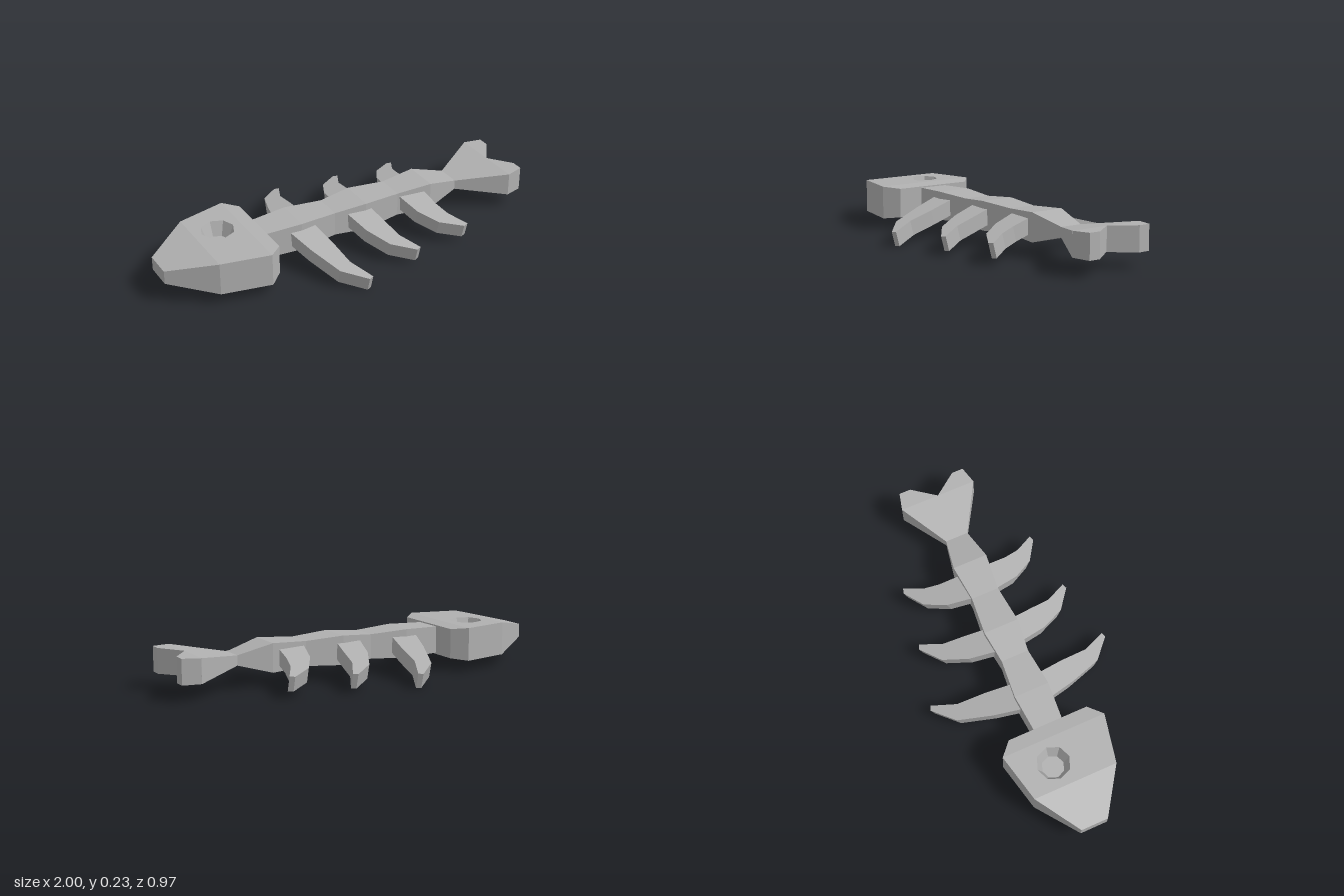
import * as THREE from 'three';

const MID = 0.146; // height of the central plane

// Solid through rectangular sections [x, zNear, zFar, halfHeight], with capped ends
function loft(sections) {
  const pos = [];
  const quad = (a, b, c, d) => pos.push(...a, ...b, ...c, ...a, ...c, ...d);
  const ring = ([x, z0, z1, h]) => [[x, -h, z0], [x, -h, z1], [x, h, z1], [x, h, z0]];
  const rings = sections.map(ring);
  for (let i = 0; i < rings.length - 1; i++) {
    const a = rings[i], b = rings[i + 1];
    for (let k = 0; k < 4; k++) {
      const n = (k + 1) % 4;
      quad(a[k], b[k], b[n], a[n]);
    }
  }
  const s = rings[0], e = rings[rings.length - 1];
  quad(s[0], s[1], s[2], s[3]);
  quad(e[3], e[2], e[1], e[0]);
  const g = new THREE.BufferGeometry();
  g.setAttribute('position', new THREE.Float32BufferAttribute(pos, 3));
  g.computeVertexNormals();
  return g;
}

// Symmetric sections [x, halfWidth, halfHeight]
const symmetric = (list) => loft(list.map(([x, w, h]) => [x, -w, w, h]));

// Flat plate from an outline of [x, y], lying in xz (y becomes -z), centred on y = 0
function plate(points, thickness, hole) {
  const shape = new THREE.Shape(points.map(([x, y]) => new THREE.Vector2(x, y)));
  if (hole) shape.holes.push(new THREE.Path(hole));
  const g = new THREE.ExtrudeGeometry(shape, { depth: thickness, bevelEnabled: false });
  g.translate(0, 0, -thickness / 2);
  g.rotateX(-Math.PI / 2);
  return g;
}

export function createModel() {
  const model = new THREE.Group();
  model.name = 'fishSkeleton';
  const bone = new THREE.MeshStandardMaterial({ color: 0xb0b0b0 });
  bone.name = 'bone grey';

  const body = new THREE.Group();
  body.name = 'body';
  body.position.y = MID;
  model.add(body);
  const add = (name, geometry, parent = body) => {
    const mesh = new THREE.Mesh(geometry, bone);
    mesh.name = name;
    parent.add(mesh);
    return mesh;
  };

  // Head: tapered snout, flat cheeks with the eye opening, short back
  const H = 0.085, eye = { x: -0.655, z: -0.06, R: 0.085, r: 0.057, floor: 0.012 };
  add('snout', symmetric([[-1, 0.07, 0.035], [-0.78, 0.218, H]]));
  const rim = [];
  for (let i = 0; i < 8; i++) {
    const a = i * Math.PI / 4;
    rim.push(new THREE.Vector2(eye.x + eye.R * Math.cos(a), -eye.z + eye.R * Math.sin(a)));
  }
  add('cheeks', plate([[-0.78, -0.218], [-0.53, -0.273], [-0.53, 0.273], [-0.78, 0.218]], 2 * H, rim));
  add('headBack', symmetric([[-0.53, 0.273, H], [-0.46, 0.21, 0.076]]));

  // Eye sockets: a tapered recess on each face of the head
  const socket = new THREE.LatheGeometry([
    new THREE.Vector2(eye.R, H), new THREE.Vector2(eye.r, eye.floor), new THREE.Vector2(0, eye.floor),
  ], 8).toNonIndexed();
  socket.computeVertexNormals();
  for (const [name, turn] of [['upperEyeSocket', 0], ['lowerEyeSocket', Math.PI]]) {
    const mesh = add(name, socket);
    mesh.position.set(eye.x, 0, eye.z);
    mesh.rotation.x = turn;
  }

  // Wavy spine running into the tail
  add('spine', symmetric([
    [-0.47, 0.075, 0.069], [-0.27, 0.091, 0.074], [-0.07, 0.072, 0.063], [0.1, 0.091, 0.075],
    [0.3, 0.072, 0.063], [0.49, 0.091, 0.073], [0.665, 0.06, 0.025],
  ]));
  add('tailBase', symmetric([[0.665, 0.06, 0.025], [0.91, 0.203, 0.061], [0.911, 0.203, 0.061]]));
  add('leftTailLobe', loft([[0.91, 0, 0.203, 0.061], [1, 0.12, 0.18, 0.063]]));
  add('rightTailLobe', loft([[0.91, -0.203, 0, 0.061], [1, -0.18, -0.12, 0.063]]));

  // Curved ribs, drooping 15 degrees on both sides; outlines are [x, distance from the spine axis]
  const ribs = [
    [[-0.345, 0.02], [-0.33, 0.085], [-0.292, 0.22], [-0.228, 0.39], [-0.12, 0.487],
      [-0.096, 0.478], [-0.153, 0.355], [-0.168, 0.215], [-0.19, 0.085], [-0.2, 0.02]],
    [[-0.015, 0.02], [0, 0.085], [0.03, 0.21], [0.092, 0.333], [0.2, 0.415],
      [0.224, 0.405], [0.166, 0.295], [0.151, 0.195], [0.132, 0.085], [0.125, 0.02]],
    [[0.3, 0.02], [0.315, 0.085], [0.342, 0.195], [0.405, 0.3], [0.512, 0.369],
      [0.538, 0.36], [0.483, 0.265], [0.463, 0.185], [0.453, 0.085], [0.447, 0.02]],
  ];
  const droop = THREE.MathUtils.degToRad(15), thick = 0.077;
  for (const [side, sign] of [['left', -1], ['right', 1]]) {
    ribs.forEach((outline, i) => {
      // Measure along the drooping top face so that the plan outline is kept
      const pts = outline.map(([x, d]) => [x, sign * d / Math.cos(droop)]);
      const g = plate(pts, thick);
      g.translate(0, -thick / 2, 0);
      g.rotateX(-sign * droop);
      g.translate(0, 0.207 - MID, 0);
      add(`${side}Rib${i + 1}`, g);
    });
  }
  return model;
}
